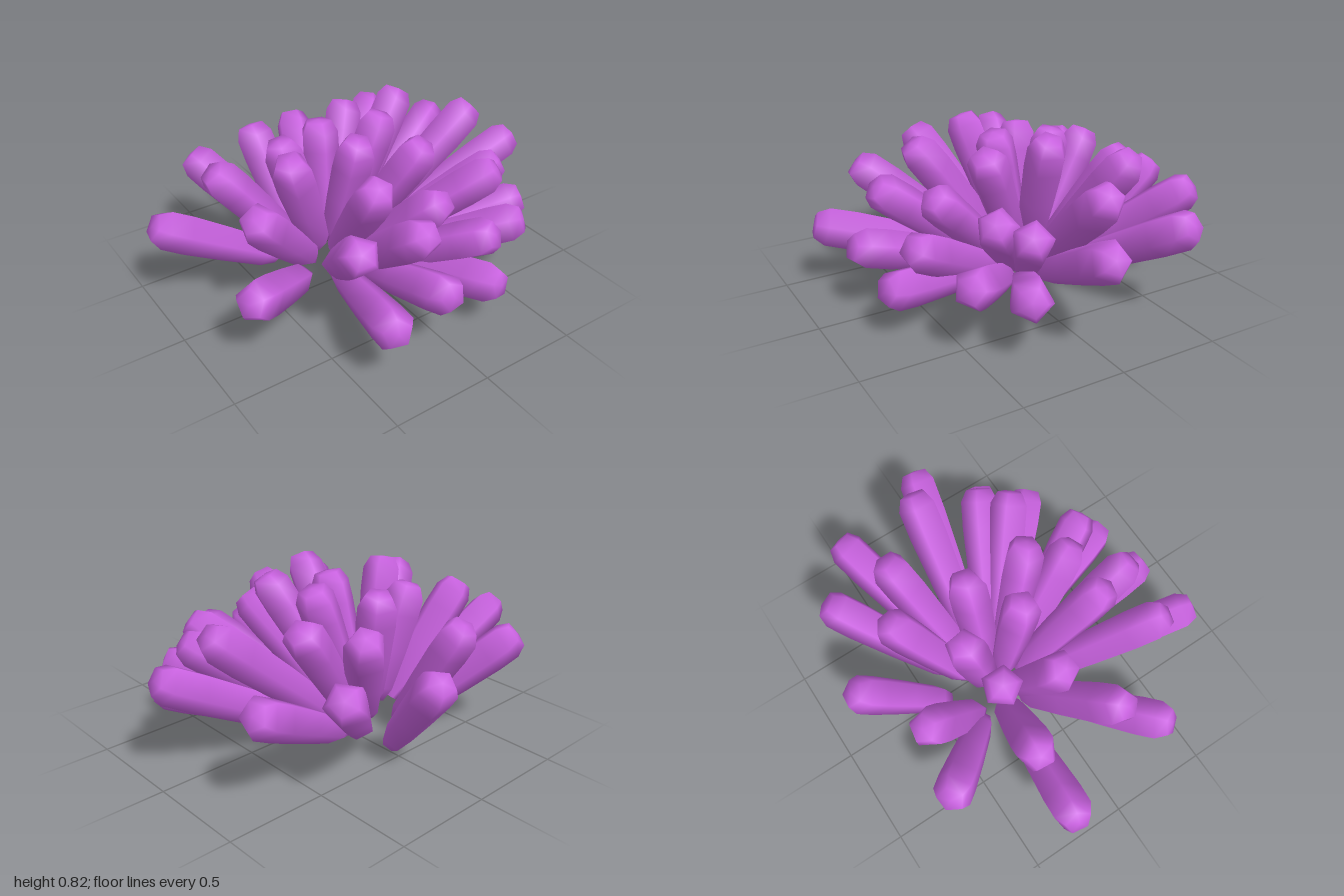
import * as THREE from 'three';
import { toCreasedNormals } from 'three/addons/utils/BufferGeometryUtils.js';

// Point deep under the cluster from which every finger fans out
const ROOT = new THREE.Vector3(-0.1, -0.04, -0.17);
const UP = new THREE.Vector3(0, 1, 0);

// Tip of each finger, optionally followed by its base
const FINGERS = [
  // back
  [[0.10, 0.53, -0.81], [-0.03, 0.04, -0.42]],
  [[-0.56, 0.53, -0.69], [-0.24, 0.11, -0.33]],
  [[-0.25, 0.63, -0.63], [-0.19, 0.08, -0.32]],
  [[0.54, 0.56, -0.69]],
  [[0.25, 0.68, -0.51]],
  [[0.49, 0.74, -0.37]],
  [[0.82, 0.51, -0.47]],
  // right-hand and left-hand sides
  [[0.74, 0.70, -0.07]],
  [[0.94, 0.52, 0.04]],
  [[-0.64, 0.66, -0.27]],
  [[-0.95, 0.48, -0.27], [-0.38, 0.14, -0.20]],
  [[-0.67, 0.65, 0.18]],
  [[-0.81, 0.39, 0.37], [-0.35, 0.13, 0.03]],
  // crown
  [[-0.05, 0.74, -0.29]],
  [[-0.30, 0.72, -0.24]],
  [[-0.40, 0.77, 0.02]],
  [[0.20, 0.78, -0.12]],
  [[-0.04, 0.77, 0.04]],
  [[0.20, 0.76, 0.22]],
  [[-0.18, 0.74, 0.40]],
  // front
  [[0.66, 0.55, 0.25]],
  [[0.54, 0.59, 0.36]],
  [[0.77, 0.33, 0.32], [0.26, 0.13, 0.05]],
  [[0.60, 0.36, 0.51], [0.16, 0.13, 0.09]],
  [[0.14, 0.59, 0.45]],
  [[-0.09, 0.60, 0.63]],
  [[-0.05, 0.35, 0.77], [-0.08, 0.14, 0.10]],
  [[0.26, 0.26, 0.74], [0.06, 0.15, 0.12]],
  [[0.30, 0.45, 0.63]],
  [[-0.41, 0.61, 0.60]],
  [[-0.39, 0.35, 0.83], [-0.20, 0.14, 0.12]],
];

// Five-sided club: small foot, thick body, blunt bevelled end
function fingerGeometry(length) {
  const profile = [
    [0, 0], [0.045, 0], [0.074, length * 0.12], [0.09, length * 0.45],
    [0.1, length * 0.75], [0.098, length - 0.065], [0.068, length - 0.008], [0, length],
  ].map(([r, y]) => new THREE.Vector2(r, y));
  return toCreasedNormals(new THREE.LatheGeometry(profile, 5), THREE.MathUtils.degToRad(74));
}

export function createModel() {
  const model = new THREE.Group();
  model.name = 'fingerCluster';
  const purple = new THREE.MeshStandardMaterial({ color: 0xc962e0 });
  purple.name = 'orchidPurple';

  FINGERS.forEach(([tipPoint, basePoint], i) => {
    const tip = new THREE.Vector3(...tipPoint);
    const base = basePoint ? new THREE.Vector3(...basePoint) : ROOT.clone().lerp(tip, 0.26);
    const direction = tip.clone().sub(base);
    const length = direction.length() + 0.035;
    const finger = new THREE.Mesh(fingerGeometry(length), purple);
    finger.name = `finger${i + 1}`;
    finger.position.copy(base);
    finger.quaternion.setFromUnitVectors(UP, direction.normalize());
    finger.rotateY(i * 2.4);
    model.add(finger);
  });
  return model;
}
